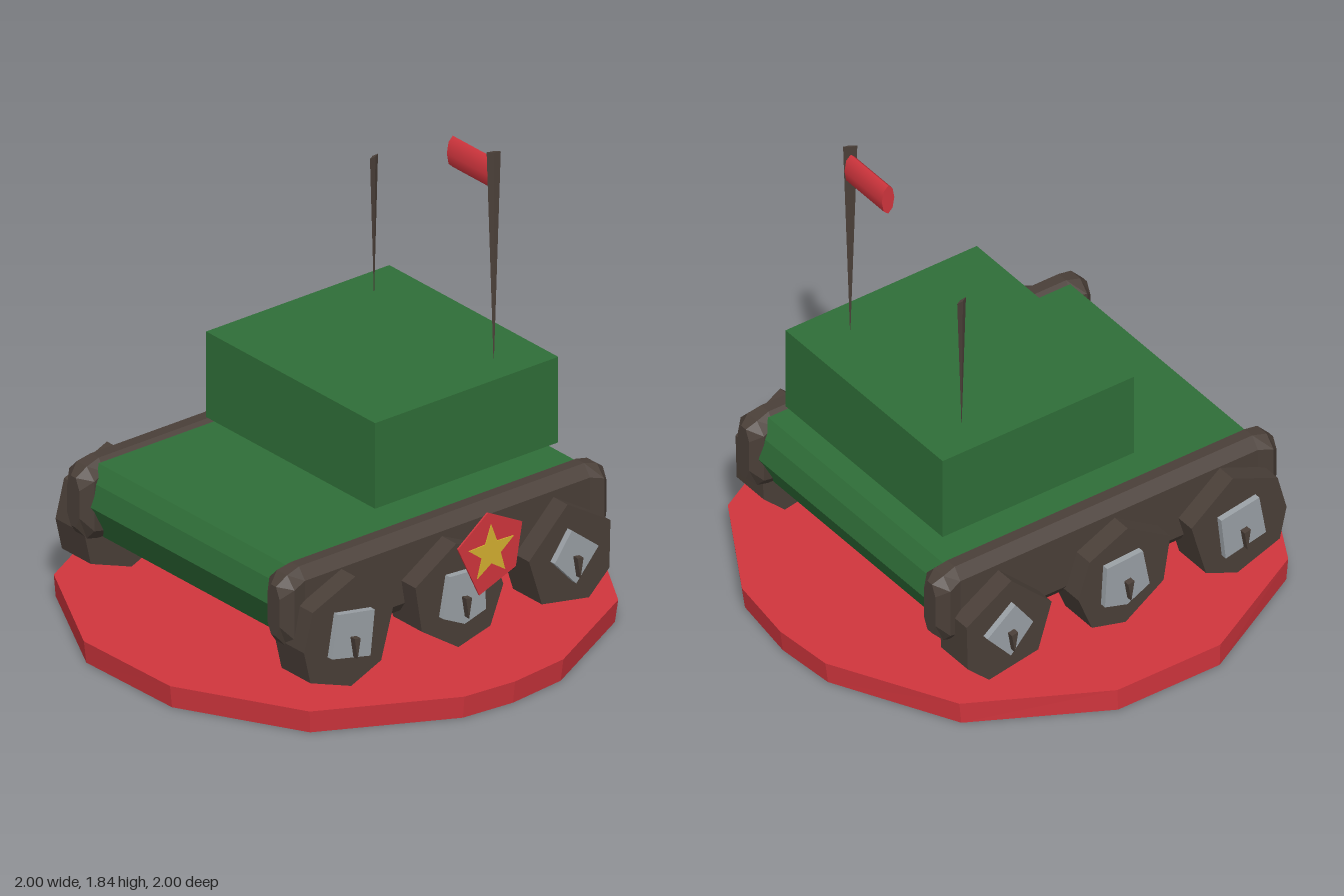
import * as THREE from 'three';

const mat = (name, color) => Object.assign(new THREE.MeshStandardMaterial({ color }), { name });

// Prism with a [z, y] outline, running from x0 to x1
function prism(points, x0, x1) {
  const shape = new THREE.Shape(points.map(([z, y]) => new THREE.Vector2(-z, y)));
  return new THREE.ExtrudeGeometry(shape, { depth: x1 - x0, bevelEnabled: false })
    .rotateY(Math.PI / 2).translate(x0, 0, 0);
}

// Closed loft through rings of equal length, flat shaded
function loft(rings) {
  const pos = [];
  const tri = (a, b, c) => pos.push(...a, ...b, ...c);
  const n = rings[0].length;
  for (let r = 0; r < rings.length - 1; r++) {
    for (let i = 0; i < n; i++) {
      const j = (i + 1) % n, a = rings[r], b = rings[r + 1];
      tri(a[i], a[j], b[j]);
      tri(a[i], b[j], b[i]);
    }
  }
  const first = rings[0], last = rings[rings.length - 1];
  for (let i = 1; i < n - 1; i++) {
    tri(first[0], first[i + 1], first[i]);
    tri(last[0], last[i], last[i + 1]);
  }
  const g = new THREE.BufferGeometry();
  g.setAttribute('position', new THREE.Float32BufferAttribute(pos, 3));
  g.computeVertexNormals();
  return g;
}

export function createModel() {
  const model = new THREE.Group();
  model.name = 'toyTank';
  const red = mat('red', 0xd0353d);
  const green = mat('green', 0x2f6e38);
  const brown = mat('darkBrown', 0x4a3f38);
  const grey = mat('hubGrey', 0x9aa0a5);
  const gold = mat('gold', 0xd4b030);
  const add = (name, geometry, material, parent = model) => {
    const mesh = new THREE.Mesh(geometry, material);
    mesh.name = name;
    parent.add(mesh);
    return mesh;
  };

  // Uneven round base, ring order runs counter-clockwise seen from above
  const outline = [[1, 0], [0.97, -0.25], [0.72, -0.71], [0.29, -0.96], [0, -1], [-0.25, -0.98],
    [-0.73, -0.73], [-1, -0.22], [-1, 0.24], [-0.73, 0.74], [-0.24, 1], [0.24, 0.99],
    [0.72, 0.73], [0.98, 0.22]];
  add('base', loft([0, 0.09].map((y) => outline.map(([x, z]) => {
    const s = y ? 1 : 0.988;
    return [x < 0 ? x : x * s, y, z * s];
  }))), red);

  // Hull with sloped ends
  add('hull', prism([[0.68, 0.59], [0.72, 0.53], [0.74, 0.44], [0.65, 0.28],
    [-0.64, 0.28], [-0.73, 0.44], [-0.71, 0.53], [-0.67, 0.59]], -0.56, 0.54), green);

  // Turret block floating above the hull
  add('turret', new THREE.BoxGeometry(0.965, 0.345, 0.855).translate(-0.008, 0.828, -0.203), green);

  // Track beams: end caps flare, then narrow into a long beam
  const sections = [[-0.755, 0.035, 0.34, 0.56], [-0.715, 0.072, 0.3, 0.59], [-0.66, 0.058, 0.28, 0.605],
    [0.67, 0.058, 0.28, 0.605], [0.73, 0.072, 0.3, 0.59], [0.77, 0.035, 0.35, 0.55]];
  const beamRing = (cx) => ([z, w, y0, y1]) => [
    [cx - w * 0.4, y0, z], [cx + w * 0.4, y0, z], [cx + w, y0 + 0.045, z], [cx + w, y1 - 0.045, z],
    [cx + w * 0.4, y1, z], [cx - w * 0.4, y1, z], [cx - w, y1 - 0.045, z], [cx - w, y0 + 0.045, z]];

  // Wheel and hub outlines as [z, y]
  const wheels = [
    { name: 'front', z: 0.53,
      rim: [[0.5, 0.555], [0.315, 0.41], [0.38, 0.18], [0.52, 0.12], [0.71, 0.19], [0.74, 0.32], [0.7, 0.47]],
      hub: [[0.6, 0.44], [0.43, 0.41], [0.45, 0.23], [0.63, 0.27]] },
    { name: 'middle', z: 0.01,
      rim: [[0.03, 0.54], [-0.14, 0.46], [-0.19, 0.31], [-0.13, 0.16], [0.02, 0.12], [0.19, 0.235], [0.22, 0.42]],
      hub: [[0.08, 0.43], [-0.08, 0.42], [-0.09, 0.25], [0.01, 0.22], [0.11, 0.27]] },
    { name: 'rear', z: -0.51,
      rim: [[-0.49, 0.535], [-0.69, 0.41], [-0.685, 0.22], [-0.59, 0.13], [-0.37, 0.17], [-0.31, 0.36]],
      hub: [[-0.49, 0.44], [-0.615, 0.34], [-0.51, 0.22], [-0.41, 0.33]] },
  ];

  // Running gear, mirrored on both sides
  for (const side of [1, -1]) {
    const gear = new THREE.Group();
    gear.name = side > 0 ? 'leftRunningGear' : 'rightRunningGear';
    gear.position.x = -0.01;
    model.add(gear);
    const span = (points, a, b) => (side > 0 ? prism(points, a, b) : prism(points, -b, -a));
    add('trackBeam', loft(sections.map(beamRing(side * 0.572))), brown, gear);
    for (const w of wheels) {
      add(w.name + 'Wheel', span(w.rim, 0.545, 0.71), brown, gear);
      add(w.name + 'Hub', span(w.hub, 0.7, 0.735), grey, gear);
      add(w.name + 'AxlePin', span([[w.z - 0.014, 0.33], [w.z + 0.014, 0.335], [w.z, 0.25]], 0.72, 0.76), brown, gear);
    }
  }

  // Pentagon badge with a star on the left side
  add('badge', prism([[-0.09, 0.64], [-0.25, 0.555], [-0.22, 0.385], [-0.05, 0.32], [0.05, 0.535]], 0.728, 0.735), red);
  const star = Array.from({ length: 10 }, (_, i) => {
    const r = i % 2 ? 0.046 : 0.11, a = i * Math.PI / 5;
    return [-0.103 + r * Math.sin(a), 0.48 + r * Math.cos(a)];
  });
  add('star', prism(star, 0.735, 0.739), gold);

  // Blade-like poles that taper to a point at the turret roof
  const pole = (name, x, height, angle) => {
    const g = new THREE.CylinderGeometry(1, 0.04, height, 4).scale(0.026, 1, 0.006)
      .rotateY(angle).translate(x, 1 + height / 2, -0.44);
    add(name, g.toNonIndexed(), brown).geometry.computeVertexNormals();
  };
  pole('flagPole', 0.339, 0.835, 1.06);
  pole('antenna', -0.345, 0.555, -1.28);

  // Flattened roll of a flag
  add('flag', new THREE.CylinderGeometry(1, 1, 0.23, 8).rotateZ(Math.PI / 2)
    .scale(1, 0.063, 0.028).translate(0.213, 1.743, -0.446), red);
  return model;
}
